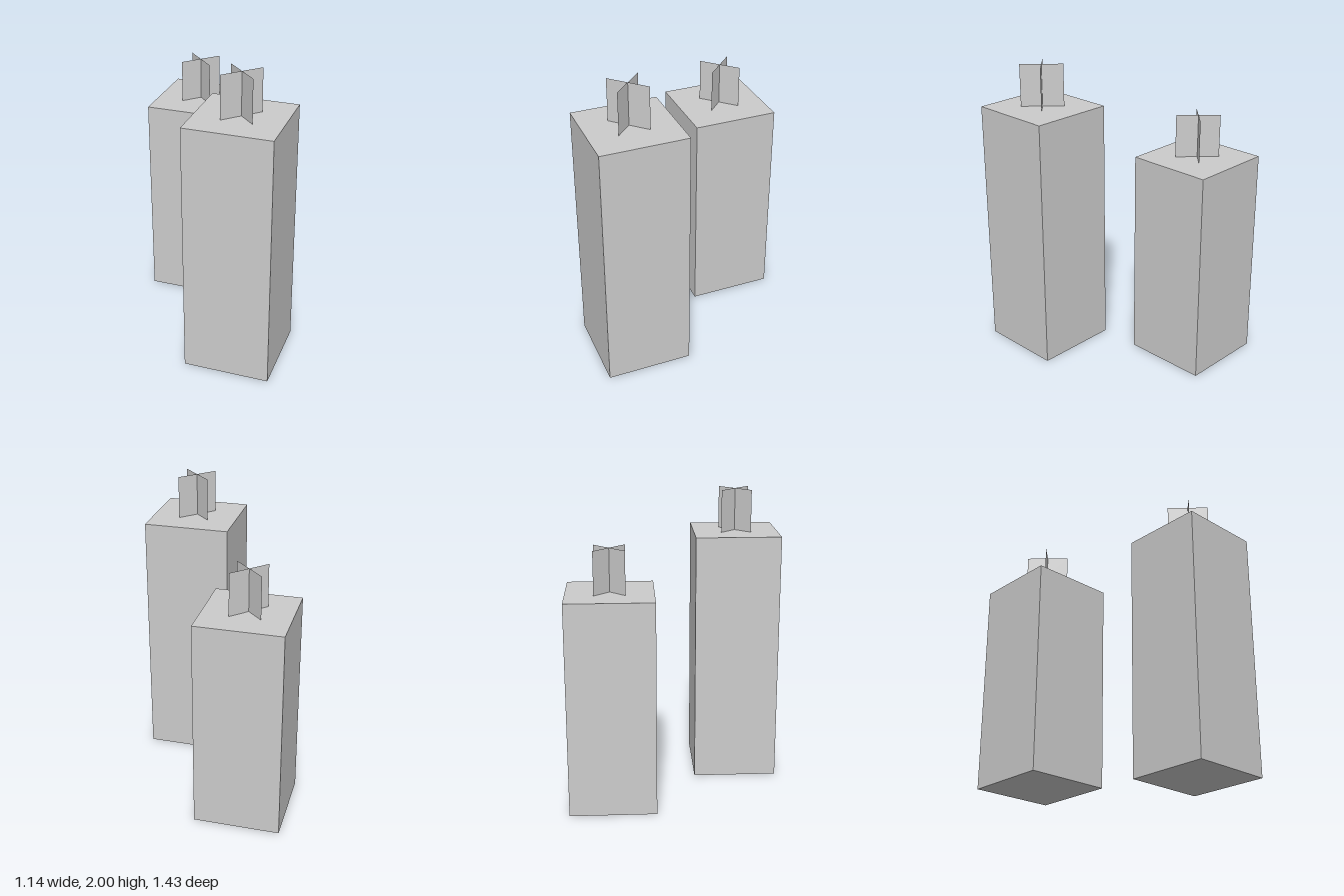
import * as THREE from 'three';

const U = 2 / 7; // base unit: wick size, half the candle width

export function createModel() {
  const model = new THREE.Group();
  const wax = new THREE.MeshStandardMaterial({ color: 0xcccccc, flatShading: true });
  const wick = new THREE.MeshStandardMaterial({ color: 0xcccccc, flatShading: true, side: THREE.DoubleSide });

  // Square candle with a wick of two crossed square sheets
  function addCandle(name, x, z, height) {
    const candle = new THREE.Group();
    candle.name = name;
    candle.position.set(x, 0, z);

    const body = new THREE.Mesh(new THREE.BoxGeometry(2 * U, height, 2 * U), wax);
    body.name = 'candleBody';
    body.position.y = height / 2;
    candle.add(body);

    for (const side of [-1, 1]) {
      const sheet = new THREE.Mesh(new THREE.PlaneGeometry(U, U), wick);
      sheet.name = side < 0 ? 'wickSheetA' : 'wickSheetB';
      sheet.position.y = height + U / 2;
      sheet.rotation.y = side * Math.PI / 4;
      candle.add(sheet);
    }
    model.add(candle);
  }

  addCandle('tallCandle', U, 1.5 * U, 6 * U);
  addCandle('shortCandle', -U, -1.5 * U, 5 * U);
  return model;
}
